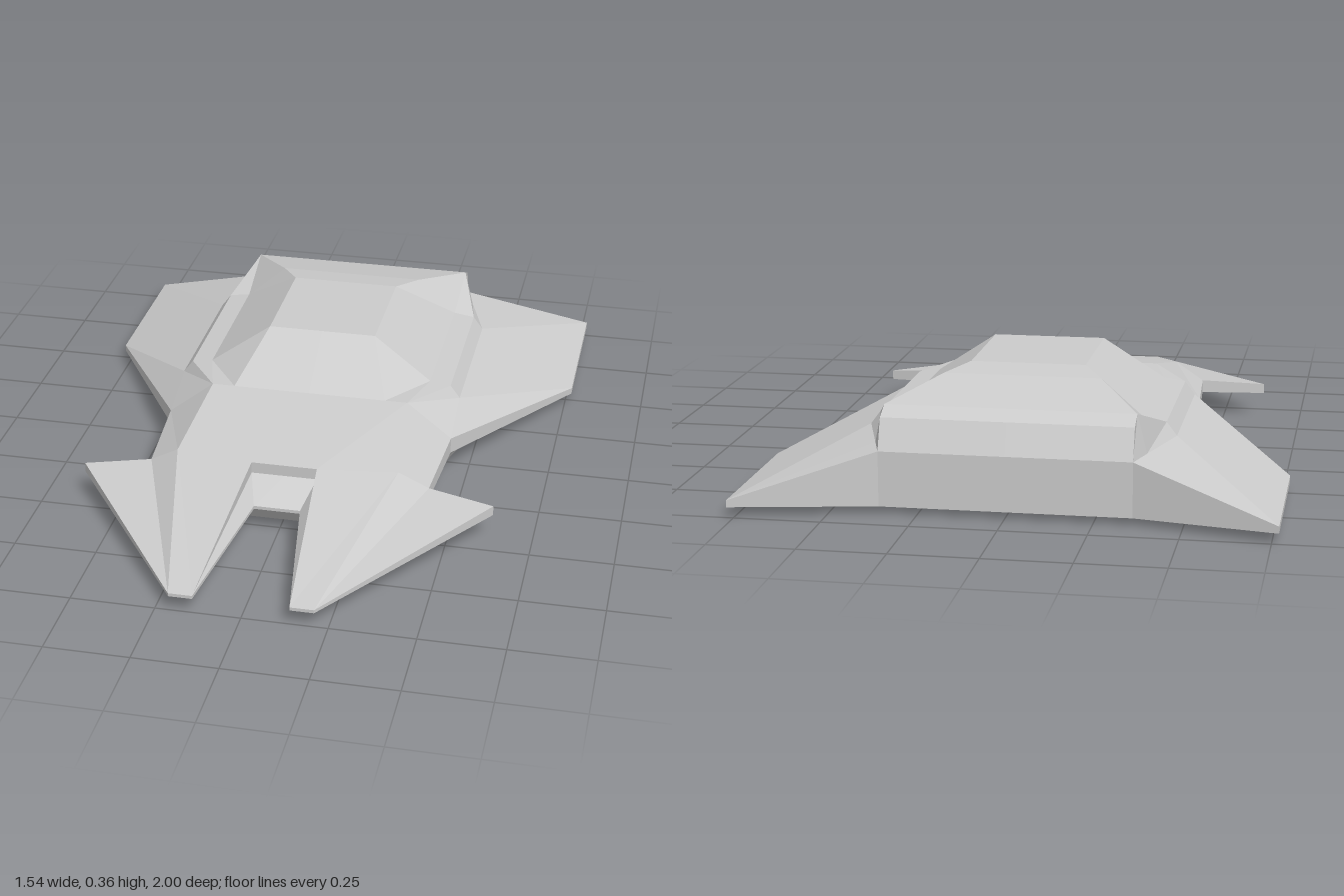
import * as THREE from 'three';

const material = new THREE.MeshStandardMaterial({ color: 0xcccccc, flatShading: true });

// Faces joining neighbouring sections; sections run front to back, points clockwise seen from the front
function loft(sections, closed = false) {
  const tris = [];
  for (let s = 0; s < sections.length - 1; s++) {
    const a = sections[s], b = sections[s + 1], n = a.length;
    for (let i = 0; i < (closed ? n : n - 1); i++) {
      const j = (i + 1) % n;
      tris.push([a[i], a[j], b[j]], [a[i], b[j], b[i]]);
    }
  }
  return tris;
}

// Skin over lengthwise rails, each listed front to back
const skin = (...rails) => loft(rails[0].map((_, i) => rails.map((rail) => rail[i])));

// Flat cap over a polygon
const fan = (points) => points.slice(2).map((p, i) => [points[0], points[i + 1], p]);

// Points moved onto the centre plane, or lowered
const toCentre = (points) => points.map(([, y, z]) => [0, y, z]);
const lower = ([x, y, z], d) => [x, y - d, z];

// Mesh from the triangles of the +x half plus their mirror image
function mirroredMesh(name, tris) {
  const pos = [];
  for (const corners of tris) {
    const [a, b, c] = corners.map((p) => new THREE.Vector3(...p));
    if (new THREE.Triangle(a, b, c).getArea() < 1e-7) continue;
    for (const p of [a, b, c]) pos.push(p.x, p.y, p.z);
    for (const p of [a, c, b]) pos.push(-p.x, p.y, p.z);
  }
  const geometry = new THREE.BufferGeometry();
  geometry.setAttribute('position', new THREE.Float32BufferAttribute(pos, 3));
  geometry.computeVertexNormals();
  const mesh = new THREE.Mesh(geometry, material);
  mesh.name = name;
  return mesh;
}

export function createModel() {
  const group = new THREE.Group();
  group.name = 'spacecraft';
  const add = (name, tris) => group.add(mirroredMesh(name, tris));

  // Lengthwise rails of the rear body, from the windshield foot to the stern
  const front = [.31, .24, .08], hip = [.45, .13, .08];
  const engine = [.36, .295, -.8], ledge = [.36, .27, -.855];
  const wingTip = [.77, .05, -1];
  const straight = (x, y) => [-.09, -.5, -.6].map((z) => [x, y, z]);
  const roof = [[.24, .24, .08], [.17, .36, -.12], [.17, .36, -.5], [.23, .345, -.6], [.29, .295, -.8], ledge];
  const base = [front, ...straight(.355, .235), engine, ledge];
  const shoulder = [front, ...straight(.42, .225), engine, ledge];
  const side = [hip, ...straight(.45, .185), [.388, .182, -.8], [.36, .18, -.89]];
  const wing = [hip, [.545, .106, -.09], [.77, .05, -.49], wingTip, wingTip, wingTip];
  const belly = [[.40, 0, .08], ...straight(.45, 0), [.39, .013, -.8], [.36, .02, -.89]];
  // The wing edge thins from hip to tip
  const wingLow = wing.map((p) => lower(p, .05 - (p[0] - .45) * .094));

  add('cabin', skin(toCentre(roof), roof, base));
  add('shoulders', skin(base, shoulder, side));
  add('rearWings', skin(side, wing, wingLow, belly));
  add('belly', skin(belly, toCentre(belly)));

  // Sloping stern with the closed trailing edge below it
  const sternSide = side[5], sternLow = belly[5];
  const [sternMid, lowMid] = toCentre([sternSide, sternLow]);
  add('stern', [
    ...loft([[...toCentre([ledge]), ledge], [sternMid, sternSide]]),
    ...fan([sternSide, wingTip, wingLow[5], sternLow, lowMid, sternMid]),
  ]);

  // Forward hull between the cabin and the nose notch
  const top = [.10, .18, .44], crease = [.34, .175, .40];
  const edgeTop = [.43, .12, .38], edgeLow = lower(edgeTop, .04);
  const keel = [.38, .018, .40], keelIn = [.10, .018, .48];
  add('forwardHull', loft([
    [...toCentre([top]), top, crease, edgeTop, edgeLow, keel, keelIn, ...toCentre([keelIn])],
    [[0, .24, .08], roof[0], front, hip, wingLow[0], belly[0], [.10, 0, .08], [0, 0, .08]],
  ]));

  // Stepped back wall of the notch
  const wall = [top, [.10, .145, .44], [.07, .09, .54], [.07, .08, .54], keelIn];
  add('noseNotch', loft([toCentre(wall), wall]));

  // Two tapering prongs
  const inTop = [.14, .055, 1], outTop = [.21, .055, 1];
  const inLow = lower(inTop, .01), outLow = lower(outTop, .01);
  add('noseProngs', [
    ...loft([
      [inTop, outTop, outTop, outLow, outLow, inLow, inLow, inTop, inTop],
      [top, crease, edgeTop, edgeLow, keel, keelIn, wall[3], wall[2], wall[1]],
    ], true),
    ...fan([inTop, inLow, outLow, outTop]),
  ]);

  // Thin triangular front winglets
  const tipTop = [.63, .105, .42], tipLow = lower(tipTop, .03);
  const root = [edgeTop, tipTop, tipLow, edgeLow];
  add('frontWinglets', [...loft([[outTop, outTop, outLow, outLow], root]), ...fan(root)]);

  return group;
}
